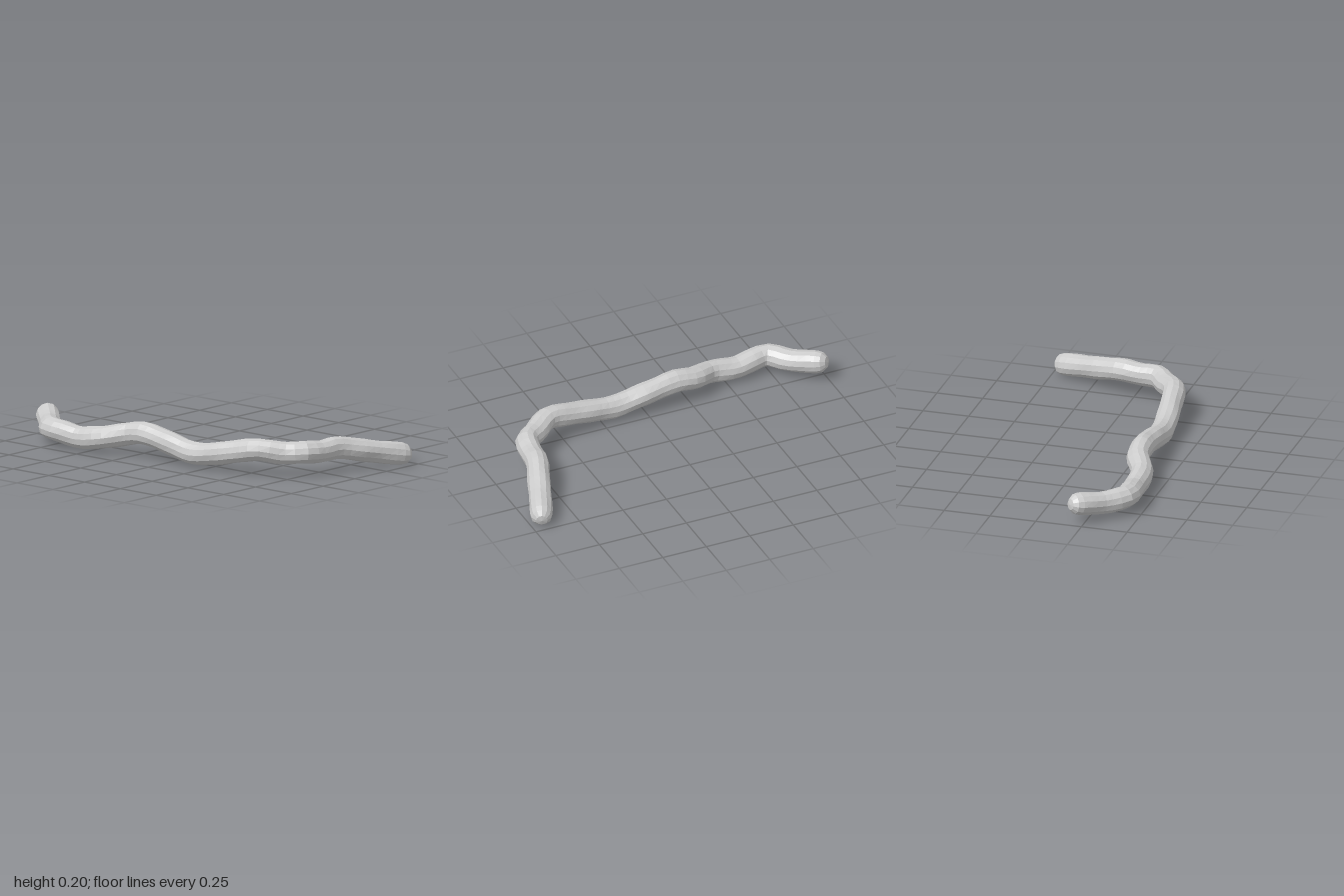
import * as THREE from 'three';

const SIDES = 12, SEGMENTS = 54, RADIUS = 0.06;

// Centre line of the stick, from its right end to its left end
const PATH = [
  [-0.95, 0.11, 0.222], [-0.84, 0.088, 0.325], [-0.745, 0.094, 0.418], [-0.66, 0.085, 0.415],
  [-0.56, 0.07, 0.404], [-0.41, 0.09, 0.4], [-0.28, 0.118, 0.338], [-0.18, 0.134, 0.33],
  [0, 0.105, 0.325], [0.17, 0.075, 0.325], [0.3, 0.09, 0.316], [0.45, 0.12, 0.295],
  [0.58, 0.144, 0.272], [0.68, 0.128, 0.2], [0.76, 0.132, 0.135], [0.785, 0.124, 0.02],
  [0.797, 0.13, -0.07], [0.845, 0.106, -0.2], [0.905, 0.076, -0.35], [0.938, 0.061, -0.432],
];

// Cross-sections swept along the path, closed by blunt rounded ends
function stickGeometry() {
  const curve = new THREE.CatmullRomCurve3(PATH.map((p) => new THREE.Vector3(...p)), false, 'centripetal');
  const frames = curve.computeFrenetFrames(SEGMENTS, false);
  const positions = [], indices = [];
  let rings = 0;

  const addRing = (i, offset, scale) => {
    const centre = curve.getPointAt(i / SEGMENTS).addScaledVector(frames.tangents[i], offset);
    const r = RADIUS * scale * (1 + 0.02 * Math.sin(i * 1.7));
    for (let j = 0; j < SIDES; j++) {
      const a = (j / SIDES) * Math.PI * 2;
      const wobble = r * (1 + 0.025 * Math.sin(3 * a + i * 0.9)); // slightly uneven bark
      const v = centre.clone()
        .addScaledVector(frames.normals[i], Math.cos(a) * wobble)
        .addScaledVector(frames.binormals[i], Math.sin(a) * wobble);
      positions.push(v.x, v.y, v.z);
    }
    rings++;
  };

  const cap = [[0.058, 0.01], [0.052, 0.5], [0.03, 0.87]];
  for (const [d, s] of cap) addRing(0, -d, s);
  for (let i = 0; i <= SEGMENTS; i++) addRing(i, 0, 1);
  for (const [d, s] of [...cap].reverse()) addRing(SEGMENTS, d, s);

  for (let i = 0; i < rings - 1; i++) {
    for (let j = 0; j < SIDES; j++) {
      const k = (j + 1) % SIDES;
      const a = i * SIDES + j, b = i * SIDES + k, c = a + SIDES, d = b + SIDES;
      indices.push(a, b, c, b, d, c);
    }
  }
  const geometry = new THREE.BufferGeometry();
  geometry.setAttribute('position', new THREE.Float32BufferAttribute(positions, 3));
  geometry.setIndex(indices);
  geometry.computeVertexNormals();
  return geometry;
}

export function createModel() {
  const group = new THREE.Group();
  group.name = 'crookedStick';
  const material = new THREE.MeshStandardMaterial({ color: 0xcccccc, flatShading: true });
  const stick = new THREE.Mesh(stickGeometry(), material);
  stick.name = 'stick';
  // Rest the stick on the ground
  stick.geometry.computeBoundingBox();
  stick.position.y = -stick.geometry.boundingBox.min.y;
  group.add(stick);
  return group;
}
